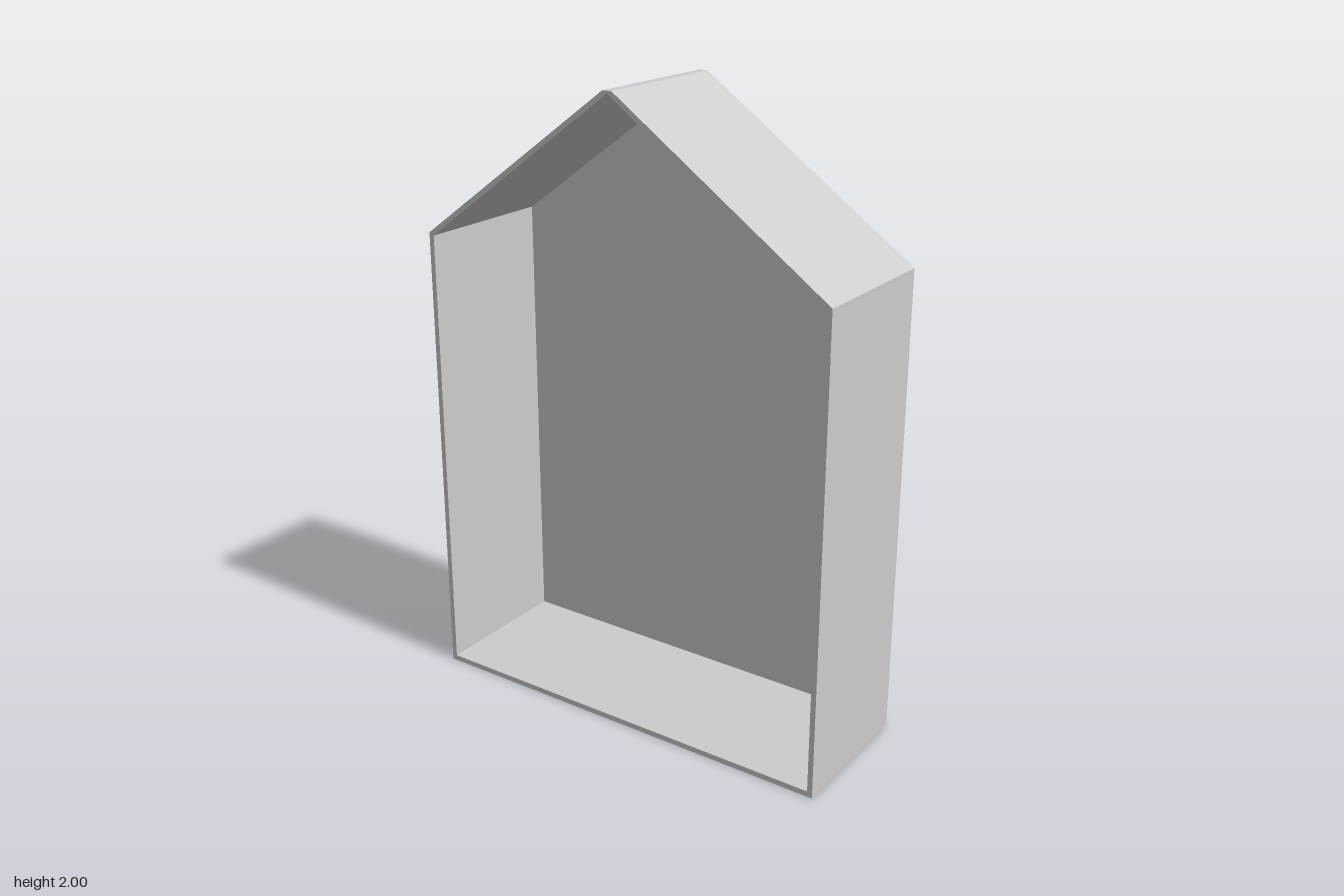
import * as THREE from 'three';

const DEPTH = 0.48;
const PANEL = 0.004; // thickness of the back sheet

// Gabled outlines, counter-clockwise from the lower right corner
const OUTER = [[0.707, 0], [0.707, 1.505], [0, 2], [-0.03, 2], [-0.707, 1.505], [-0.707, 0]];
const INNER = [[0.69, 0.018], [0.69, 1.497], [-0.015, 1.992], [-0.69, 1.497], [-0.69, 0.018]];

const points = (list) => list.map(([x, y]) => new THREE.Vector2(x, y));

function extrude(shape, depth) {
  const geometry = new THREE.ExtrudeGeometry(shape, { depth, bevelEnabled: false });
  geometry.translate(0, 0, -DEPTH / 2);
  return geometry;
}

export function createModel() {
  const group = new THREE.Group();
  group.name = 'gabledBox';
  const grey = new THREE.MeshStandardMaterial({ color: 0xcccccc });
  grey.name = 'light grey';

  // Floor, side walls and roof as one thin continuous frame
  const frameShape = new THREE.Shape(points(OUTER));
  frameShape.holes.push(new THREE.Path(points(INNER)));
  const frame = new THREE.Mesh(extrude(frameShape, DEPTH), grey);
  frame.name = 'frame';

  // Thin sheet closing the back, leaving the front open
  const back = new THREE.Mesh(extrude(new THREE.Shape(points(INNER)), PANEL), grey);
  back.name = 'backPanel';

  group.add(frame, back);
  return group;
}
